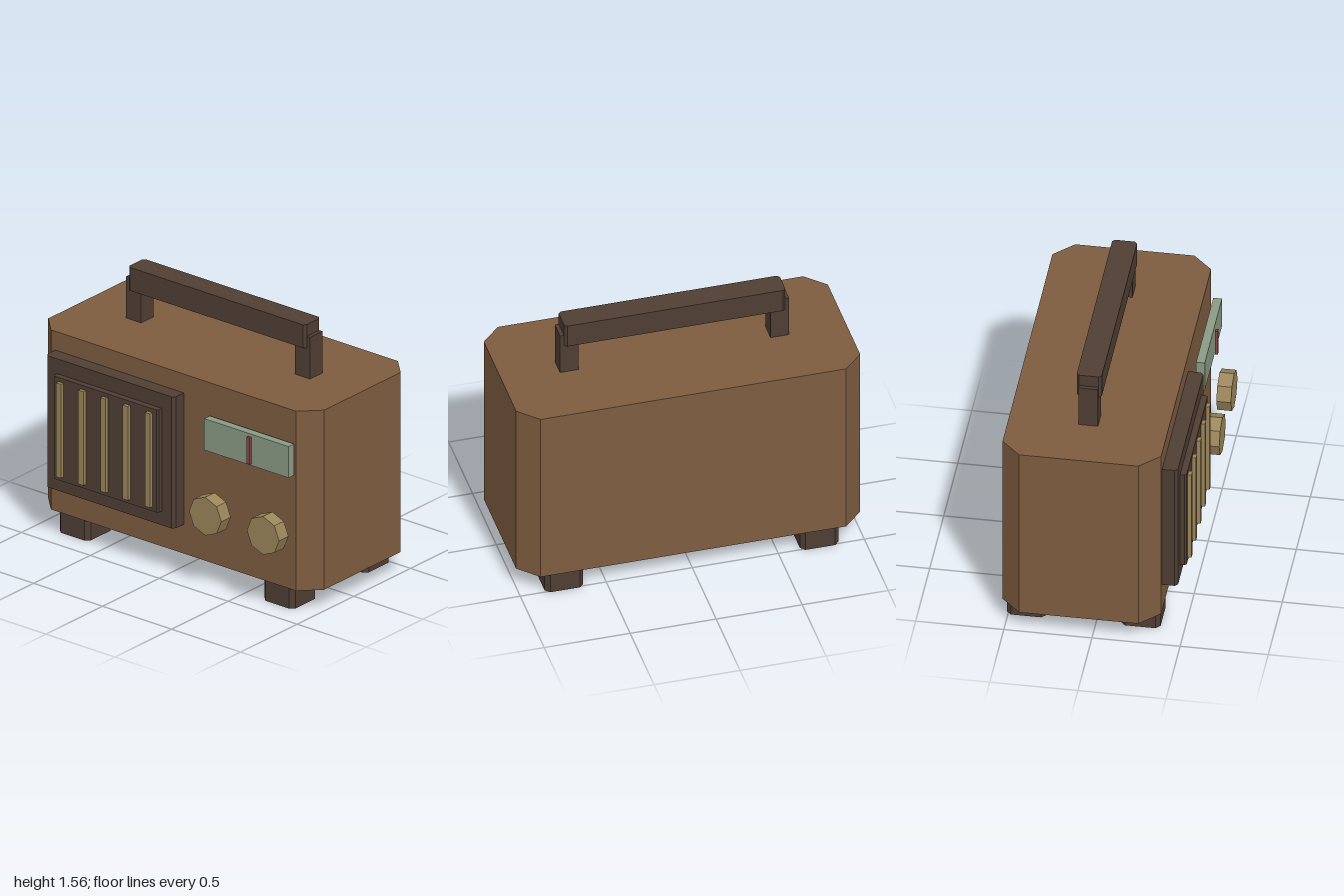
import * as THREE from 'three';

const paint = (color) => new THREE.MeshStandardMaterial({ color, flatShading: true });

export function createModel() {
  const wood = paint(0x7d5c3f), dark = paint(0x4f3e33), brass = paint(0x9a8559);
  const glass = paint(0x8a9a84), red = paint(0x874848);
  const radio = new THREE.Group();
  radio.name = 'radio';

  const add = (name, geometry, material, x, y, z) => {
    const mesh = new THREE.Mesh(geometry, material);
    mesh.name = name;
    mesh.position.set(x, y, z);
    radio.add(mesh);
    return mesh;
  };

  // Plain block given by its extents
  const block = (name, material, [x0, x1], [y0, y1], [z0, z1]) =>
    add(name, new THREE.BoxGeometry(x1 - x0, y1 - y0, z1 - z0), material,
      (x0 + x1) / 2, (y0 + y1) / 2, (z0 + z1) / 2);

  // Block whose four vertical edges are cut by c
  const cutBlock = (name, material, [x0, x1], [y0, y1], [z0, z1], c) => {
    const w = (x1 - x0) / 2, d = (z1 - z0) / 2;
    const outline = [[w, c - d], [w, d - c], [w - c, d], [c - w, d],
      [-w, d - c], [-w, c - d], [c - w, -d], [w - c, -d]];
    const shape = new THREE.Shape(outline.map(([x, y]) => new THREE.Vector2(x, y)));
    const geometry = new THREE.ExtrudeGeometry(shape, { depth: y1 - y0, bevelEnabled: false });
    geometry.rotateX(-Math.PI / 2);
    return add(name, geometry, material, (x0 + x1) / 2, y0, (z0 + z1) / 2);
  };

  // Cabinet
  cutBlock('cabinet', wood, [-1, 1], [0.13, 1.23], [-0.525, 0.375], 0.112);

  // Feet
  for (const x of [-0.742, 0.742])
    for (const z of [-0.397, 0.25])
      cutBlock('foot', dark, [x - 0.112, x + 0.112], [0, 0.13], [z - 0.112, z + 0.112], 0.026);

  // Carrying handle
  for (const x of [-0.612, 0.612])
    block('handlePost', dark, [x - 0.054, x + 0.054], [1.23, 1.485], [-0.13, -0.019]);
  cutBlock('handleBar', dark, [-0.643, 0.643], [1.415, 1.557], [-0.145, -0.003], 0.016);

  // Speaker frame, panel and slats
  cutBlock('speakerFrame', dark, [-0.856, 0.076], [0.31, 1.115], [0.355, 0.463], 0.017);
  cutBlock('speakerPanel', dark, [-0.77, -0.01], [0.397, 1.025], [0.43, 0.5], 0.011);
  for (let i = 0; i < 5; i++) {
    const x = -0.713 + i * 0.1615;
    block('speakerSlat', brass, [x - 0.0185, x + 0.0185], [0.425, 1.0], [0.495, 0.522]);
  }

  // Tuning window and needle
  block('tuningWindow', glass, [0.274, 0.886], [0.842, 1.034], [0.388, 0.437]);
  block('tuningNeedle', red, [0.598, 0.621], [0.857, 1.019], [0.443, 0.459]);

  // Knobs
  for (const x of [0.353, 0.772])
    add('knob', new THREE.CylinderGeometry(0.117, 0.117, 0.083, 8).rotateX(Math.PI / 2),
      brass, x, 0.487, 0.483);

  return radio;
}
